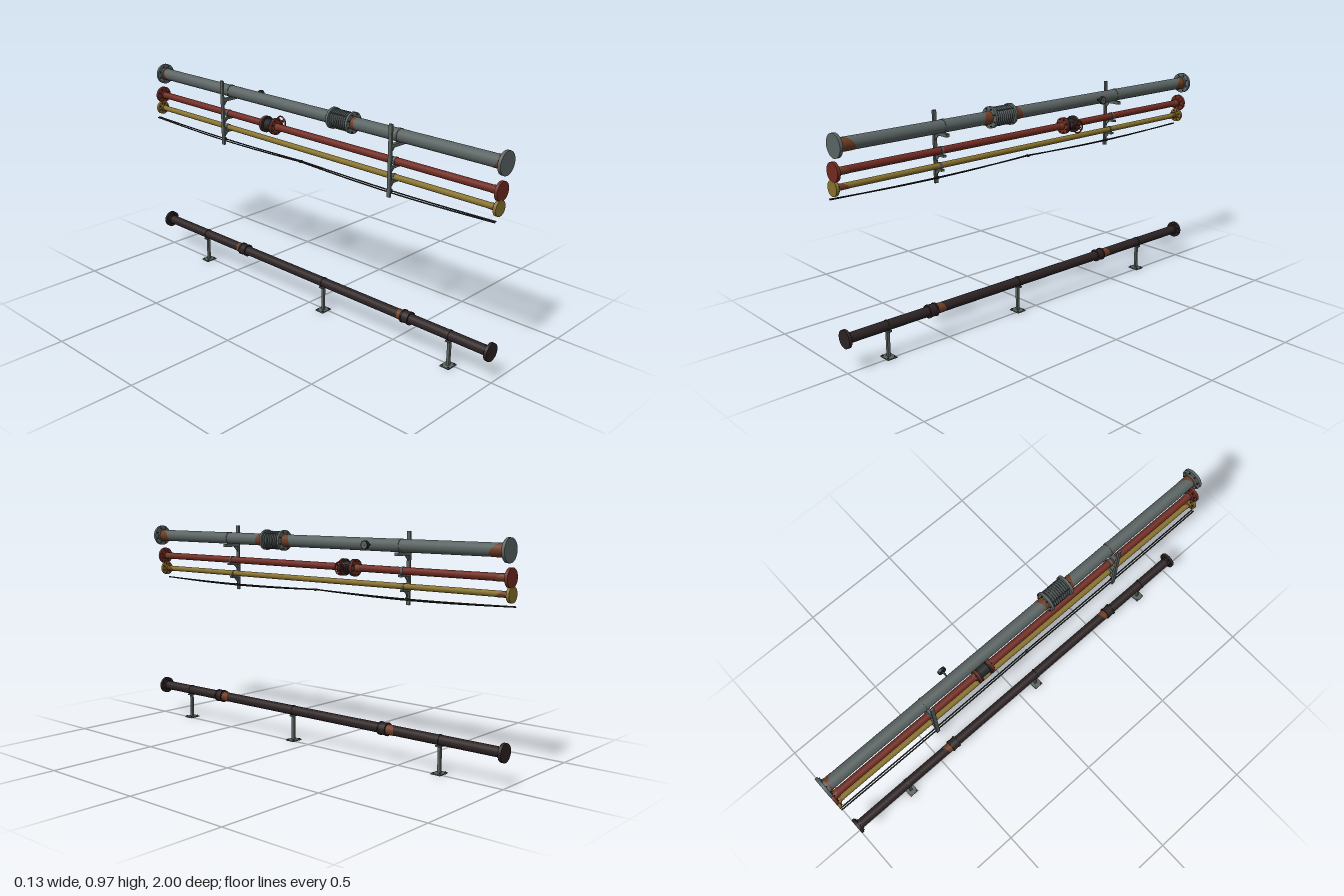
import * as THREE from 'three';

const flat = (name, color) => {
  const m = new THREE.MeshStandardMaterial({ color });
  m.name = name;
  return m;
};

export function createModel() {
  const root = new THREE.Group();
  root.name = 'pipeRack';
  const M = {
    grey: flat('greyPaint', 0x5a6463),
    red: flat('redPaint', 0x702b22),
    yellow: flat('yellowPaint', 0x87712c),
    black: flat('blackPipe', 0x2c2223),
    rust: flat('rust', 0x6e3d24),
    dark: flat('darkIron', 0x262525),
    steel: flat('bracketSteel', 0x59625f),
    bellows: flat('bellowsSteel', 0x474f4f),
    wheel: flat('wheelRed', 0x7a221b),
  };

  const group = (name, parent = root) => {
    const g = new THREE.Group();
    g.name = name;
    parent.add(g);
    return g;
  };
  const mesh = (parent, name, geo, mat, x = 0, y = 0, z = 0) => {
    const m = new THREE.Mesh(geo, mat);
    m.name = name;
    m.position.set(x, y, z);
    parent.add(m);
    return m;
  };
  const box = (p, name, w, h, d, mat, x, y, z) => mesh(p, name, new THREE.BoxGeometry(w, h, d), mat, x, y, z);
  // cylinders along z and along x
  const cylZ = (p, name, r, len, mat, x, y, z, seg = 28) =>
    mesh(p, name, new THREE.CylinderGeometry(r, r, len, seg).rotateX(Math.PI / 2), mat, x, y, z);
  const cylX = (p, name, r, len, mat, x, y, z, seg = 16) =>
    mesh(p, name, new THREE.CylinderGeometry(r, r, len, seg).rotateZ(Math.PI / 2), mat, x, y, z);

  // ring of hexagonal bolts around a z axis
  const boltRing = (p, n, ring, r, len, mat, x, y, z) => {
    for (let i = 0; i < n; i++) {
      const a = ((i + 0.5) / n) * Math.PI * 2;
      cylZ(p, 'bolt', r, len, mat, x + Math.cos(a) * ring, y + Math.sin(a) * ring, z, 6);
    }
  };

  // thin rust skin from z0 towards z0 + len, its far edge slanting round the pipe
  const rustSkin = (p, r, x, y, z0, len, turn, least = 0.35) => {
    const g = new THREE.CylinderGeometry(r + 0.0009, r + 0.0009, 1, 28, 1, true);
    const pos = g.attributes.position;
    const flip = len < 0;
    for (let i = 0; i < pos.count; i++) {
      const a = Math.atan2(pos.getZ(i), pos.getX(i));
      const k = least + (1 - least) * (0.5 + 0.5 * Math.cos(a - turn));
      const far = (pos.getY(i) > 0) !== flip;
      pos.setY(i, far ? len * k : 0);
    }
    mesh(p, 'rustPatch', g.rotateX(Math.PI / 2), M.rust, x, y, z0);
  };

  // straight runs with end flanges
  const T = 0.013;
  const runs = [
    { name: 'greyPipe', r: 0.027, fr: 0.048, x: -0.003, y: 0.913, mat: M.grey, rust: 0.06 },
    { name: 'redPipe', r: 0.0155, fr: 0.039, x: -0.021, y: 0.81, mat: M.red, rust: 0.045 },
    { name: 'yellowPipe', r: 0.0125, fr: 0.032, x: -0.029, y: 0.746, mat: M.yellow, rust: 0.045 },
    { name: 'blackPipeRun', r: 0.0215, fr: 0.039, x: -0.012, y: 0.141, mat: M.black, rust: 0 },
  ];
  const [G, R, Y, B] = runs;
  for (const p of runs) {
    p.g = group(p.name);
    cylZ(p.g, 'pipe', p.r, 1.99, p.mat, p.x, p.y, 0);
    for (const s of [-1, 1]) {
      cylZ(p.g, 'endFlange', p.fr, T, p.mat, p.x, p.y, s * (1 - T / 2), 32);
      cylZ(p.g, 'flangeHub', p.r + 0.004, 0.01, p.mat, p.x, p.y, s * (1 - T - 0.005));
      boltRing(p.g, 8, (p.r + p.fr) / 2 + 0.001, 0.003, 0.005, M.dark, p.x, p.y, s * (1 - T - 0.0025));
      if (p.rust) rustSkin(p.g, p.r, p.x, p.y, s * (1 - T - 0.009), -s * p.rust, s > 0 ? 0.6 : 0.9, 0.1);
    }
  }

  // expansion bellows on the grey pipe
  const bel = group('expansionJoint', G.g);
  const pts = [];
  const folds = 9;
  for (let i = 0; i <= folds * 4; i++) {
    const r = 0.0365 - 0.005 * Math.cos((i / 4) * Math.PI * 2);
    pts.push(new THREE.Vector2(r, -0.048 + (0.096 * i) / (folds * 4)));
  }
  mesh(bel, 'bellows', new THREE.LatheGeometry(pts, 28).rotateX(Math.PI / 2), M.bellows, G.x, G.y, 0.2)
    .material.side = THREE.DoubleSide;
  for (const s of [-1, 1]) {
    cylZ(bel, 'bellowsFlange', 0.046, 0.012, M.grey, G.x, G.y, 0.2 + s * 0.054, 32);
    boltRing(bel, 8, 0.0385, 0.003, 0.005, M.dark, G.x, G.y, 0.2 + s * 0.0625);
    rustSkin(bel, G.r, G.x, G.y, 0.2 + s * 0.06, s * 0.045, 0.5);
  }
  for (let i = 0; i < 4; i++) {
    const a = Math.PI / 4 + (i * Math.PI) / 2;
    cylZ(bel, 'tieRod', 0.002, 0.12, M.steel, G.x + 0.0435 * Math.cos(a), G.y + 0.0435 * Math.sin(a), 0.2, 8);
  }

  // pressure gauge on the grey pipe
  const gauge = group('pressureGauge', G.g);
  cylX(gauge, 'gaugeStem', 0.004, 0.03, M.dark, 0.035, G.y, -0.36, 10);
  cylX(gauge, 'gaugeCase', 0.018, 0.013, M.dark, 0.054, G.y, -0.36, 24);
  cylX(gauge, 'gaugeFace', 0.014, 0.001, M.grey, 0.0608, G.y, -0.36, 24);
  box(gauge, 'gaugeNeedle', 0.001, 0.012, 0.002, M.wheel, 0.0616, G.y + 0.003, -0.36).rotation.x = 0.7;

  // gate valve with handwheel on the red pipe
  const valve = group('gateValve', R.g);
  const vz = -0.218;
  cylZ(valve, 'valveBody', 0.026, 0.06, M.dark, R.x, R.y, vz, 20);
  for (const s of [-1, 1]) {
    cylZ(valve, 'valveFlange', 0.037, 0.009, M.red, R.x, R.y, vz + s * 0.034, 28);
    cylZ(valve, 'valveGasketFlange', 0.037, 0.007, M.dark, R.x, R.y, vz + s * 0.025, 28);
    boltRing(valve, 8, 0.03, 0.003, 0.005, M.dark, R.x, R.y, vz + s * 0.041);
    rustSkin(valve, R.r, R.x, R.y, vz + s * 0.038, s * 0.03, 1);
  }
  cylX(valve, 'bonnet', 0.014, 0.03, M.dark, 0.006, R.y, vz);
  cylX(valve, 'bonnetCap', 0.01, 0.014, M.dark, 0.026, R.y, vz, 8);
  cylX(valve, 'stem', 0.0035, 0.04, M.steel, 0.037, R.y, vz, 8);
  const wheel = group('handwheel', valve);
  wheel.position.set(0.042, R.y, vz);
  mesh(wheel, 'rim', new THREE.TorusGeometry(0.027, 0.0035, 8, 28).rotateY(Math.PI / 2), M.wheel);
  cylX(wheel, 'hub', 0.006, 0.009, M.wheel, 0, 0, 0, 12);
  for (let i = 0; i < 2; i++)
    box(wheel, 'spoke', 0.004, 0.054, 0.004, M.wheel, 0, 0, 0).rotation.x = Math.PI / 4 + (i * Math.PI) / 2;

  // wall brackets: post, arm under each pipe, strap and gusset
  const gusset = new THREE.Shape([
    new THREE.Vector2(0, 0), new THREE.Vector2(0.025, 0), new THREE.Vector2(0, -0.025),
  ]);
  for (const z of [-0.5, 0.5]) {
    const br = group('wallBracket');
    box(br, 'post', 0.009, 0.303, 0.016, M.steel, -0.0585, 0.8185, z);
    for (const [p, end] of [[G, 0.029], [R, 0.004], [Y, -0.01]]) {
      const top = p.y - p.r;
      const h = p === G ? 0.014 : 0.009;
      box(br, 'arm', end + 0.056, h, 0.016, M.steel, (end - 0.056) / 2, top - h / 2, z);
      cylZ(br, 'pipeStrap', p.r + 0.002, 0.01, M.steel, p.x, p.y, z);
      mesh(br, 'gusset', new THREE.ExtrudeGeometry(gusset, { depth: 0.004, bevelEnabled: false }),
        M.steel, -0.055, top - h, z - 0.002);
    }
    box(br, 'cableHook', 0.014, 0.004, 0.012, M.dark, -0.051, 0.688, z);
    box(br, 'cableHookTip', 0.003, 0.012, 0.012, M.dark, -0.0455, 0.692, z);
  }

  // two sagging cables
  const cables = group('cables');
  [[-0.0565, 0.698, 0.011], [-0.048, 0.699, 0.007]].forEach(([x, y, sag]) => {
    const line = [];
    for (let i = 0; i <= 32; i++) {
      const z = -1 + i / 16;
      line.push(new THREE.Vector3(x, y - sag * Math.abs(Math.sin(z * Math.PI)), z));
    }
    mesh(cables, 'cable', new THREE.TubeGeometry(new THREE.CatmullRomCurve3(line), 96, 0.003, 8), M.dark);
  });
  box(cables, 'cableTie', 0.015, 0.009, 0.008, M.dark, -0.052, 0.698, 0);

  // couplings on the lower pipe
  for (const z of [0.58, -0.42]) {
    cylZ(B.g, 'coupling', 0.027, 0.036, M.black, B.x, B.y, z);
    for (const s of [-1, 1]) cylZ(B.g, 'couplingLip', 0.029, 0.007, M.black, B.x, B.y, z + s * 0.017);
    rustSkin(B.g, B.r, B.x, B.y, z - 0.02, -0.042, 0.3, 0.5);
  }

  // floor stands under the lower pipe
  for (const z of [0.8, 0.1, -0.7]) {
    const st = group('floorStand');
    box(st, 'basePlate', 0.055, 0.005, 0.045, M.steel, B.x, 0.0025, z);
    box(st, 'standPost', 0.012, 0.113, 0.013, M.steel, B.x, 0.0605, z);
    box(st, 'saddle', 0.034, 0.006, 0.022, M.steel, B.x, B.y - B.r - 0.002, z);
    cylZ(st, 'pipeClamp', B.r + 0.002, 0.008, M.dark, B.x, B.y, z);
    for (const sx of [-1, 1])
      for (const sz of [-1, 1])
        mesh(st, 'anchorBolt', new THREE.CylinderGeometry(0.003, 0.003, 0.004, 6), M.dark,
          B.x + sx * 0.02, 0.007, z + sz * 0.016);
  }
  return root;
}
